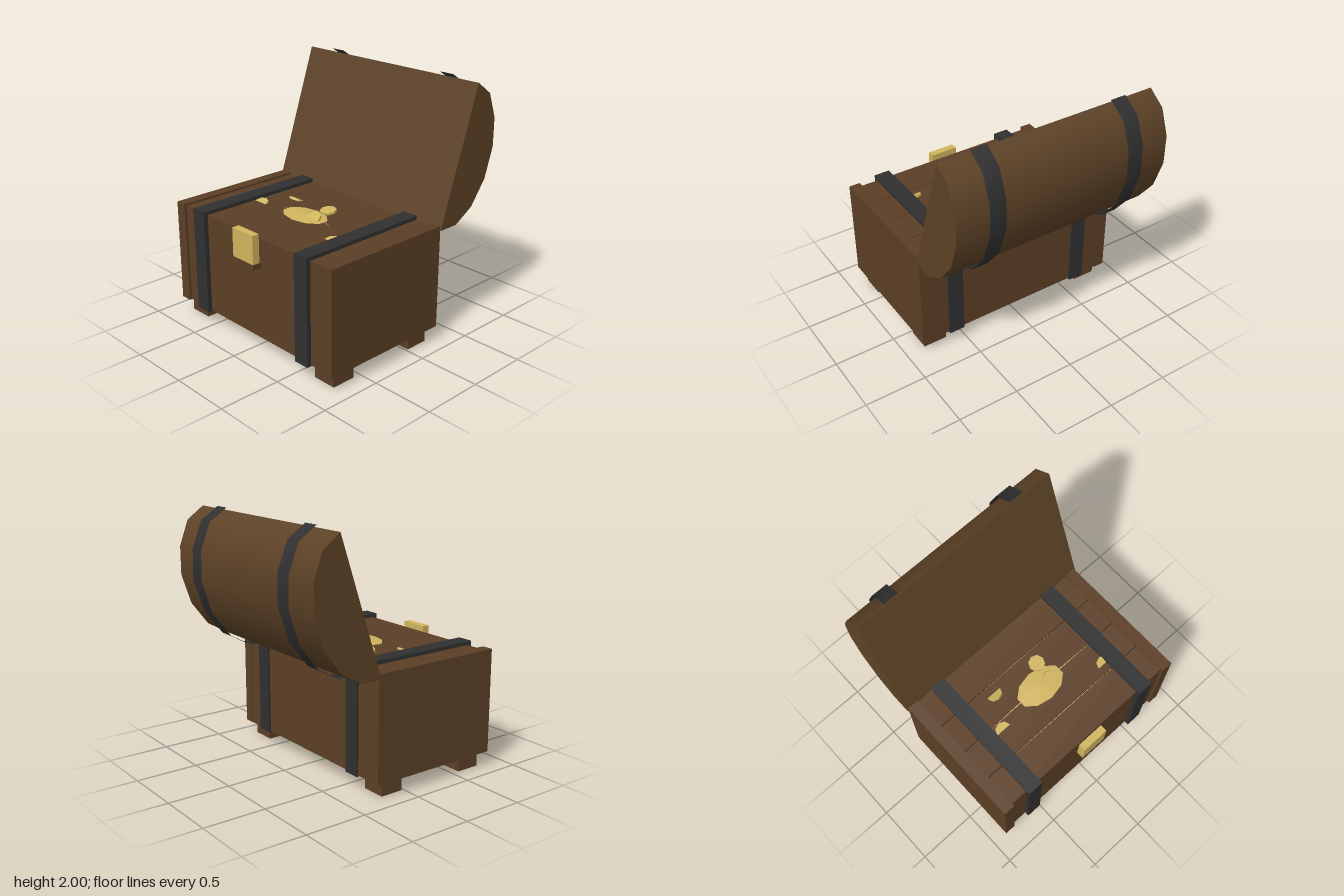
import * as THREE from 'three';
import { toCreasedNormals } from 'three/addons/utils/BufferGeometryUtils.js';

const material = (name, color, side = THREE.FrontSide) => {
  const m = new THREE.MeshStandardMaterial({ color, side });
  m.name = name;
  return m;
};

export function createModel() {
  const wood = material('brown wood', 0x5c3f26);
  const lidWood = material('lid wood', 0x5d4226);
  const iron = material('dark iron', 0x303030, THREE.DoubleSide);
  const gold = material('gold', 0xd0b45e);

  const chest = new THREE.Group();
  chest.name = 'treasureChest';

  const add = (name, geometry, mat) => {
    const mesh = new THREE.Mesh(geometry, mat);
    mesh.name = name;
    chest.add(mesh);
    return mesh;
  };
  // Box given by its low and high corners
  const box = (name, mat, [x0, y0, z0], [x1, y1, z1]) =>
    add(name, new THREE.BoxGeometry(x1 - x0, y1 - y0, z1 - z0), mat)
      .position.set((x0 + x1) / 2, (y0 + y1) / 2, (z0 + z1) / 2);

  // Body: four planks with narrow gaps between them
  const planks = [[-0.28, -0.012], [-0.004, 0.26], [0.268, 0.532], [0.54, 0.805]];
  for (const [z0, z1] of planks) box('plank', wood, [-0.79, 0.12, z0], [0.79, 0.936, z1]);

  // Lid profile as [z, y], from the open edge over the curve to the hinge
  const arc = [
    [-0.635, 1.98], [-0.775, 1.88], [-0.85, 1.68], [-0.85, 1.45],
    [-0.77, 1.21], [-0.625, 1.02], [-0.45, 0.92], [-0.275, 0.92],
  ];
  const profile = new THREE.Shape(arc.map(([z, y]) => new THREE.Vector2(-z, y)));
  const lid = new THREE.ExtrudeGeometry(profile, { depth: 1.79, bevelEnabled: false });
  lid.rotateY(Math.PI / 2).translate(-0.895, 0, 0);
  add('lid', toCreasedNormals(lid, 0.7), lidWood);

  // Open iron strip standing a little off the curve of the lid
  const lidStrap = (x) => {
    const g = new THREE.PlaneGeometry(0.13, 1, 1, arc.length - 1);
    const p = g.attributes.position;
    for (let i = 0; i < p.count; i++) {
      const [z, y] = arc[Math.floor(i / 2)];
      const out = new THREE.Vector2(z + 0.455, y - 1.45).setLength(0.028);
      p.setXYZ(i, x - p.getX(i), Math.min(y + out.y, 2), z + out.x);
    }
    g.computeVertexNormals();
    add('lidStrap', g, iron);
  };

  // Mirrored ends, iron straps and feet
  for (const s of [-1, 1]) {
    const pair = (name, mat, x0, x1, y0, y1, z0, z1) =>
      box(name, mat, [Math.min(s * x0, s * x1), y0, z0], [Math.max(s * x0, s * x1), y1, z1]);
    pair('endPanel', wood, 0.79, 0.883, 0.12, 0.953, -0.285, 0.828);
    pair('bodyStrap', iron, 0.517, 0.648, 0.112, 0.965, -0.297, 0.842);
    pair('frontFoot', wood, 0.64, 0.835, 0, 0.12, 0.565, 0.76);
    pair('backFoot', wood, 0.64, 0.835, 0, 0.12, -0.21, -0.02);
    lidStrap(s * 0.583);
  }

  // Latch plate with its wooden lower end
  box('latch', gold, [-0.115, 0.748, 0.82], [0.115, 0.977, 0.88]);
  box('latchBase', wood, [-0.115, 0.705, 0.805], [0.115, 0.748, 0.88]);

  // Shallow heap of gold whose top breaks through the planks
  const heap = add('goldHeap', new THREE.ConeGeometry(1, 0.05, 10), gold);
  heap.scale.set(0.72, 1, 0.44);
  heap.position.set(0, 0.926, 0.265);

  // Tilted eight-sided coins: x, y, z, tilt
  const coins = [
    [0.1, 0.962, 0.115, 0.12], [0.1, 0.94, 0.275, 0.5],
    [-0.31, 0.929, 0.07, -0.45], [-0.45, 0.927, 0.335, 0.35], [0.5, 0.927, 0.47, 0.35],
  ];
  for (const [x, y, z, tilt] of coins) {
    const coin = add('coin', toCreasedNormals(new THREE.CylinderGeometry(0.066, 0.066, 0.018, 8), 0.5), gold);
    coin.position.set(x, y, z);
    coin.rotation.x = tilt;
  }
  return chest;
}
